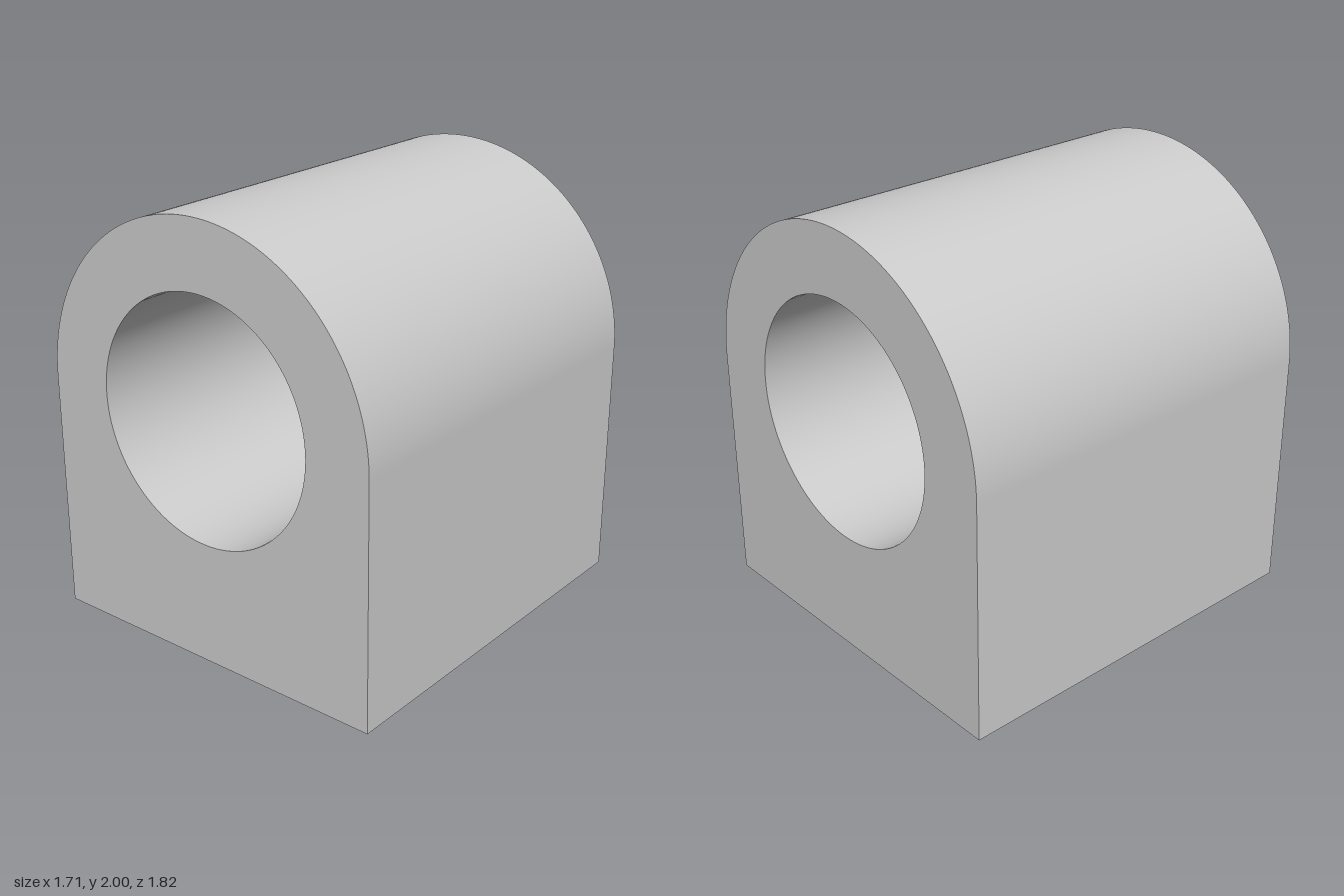
import * as THREE from 'three';
import { toCreasedNormals } from 'three/addons/utils/BufferGeometryUtils.js';

const HALF_DEPTH = 0.91;
const BASE_Y = 0.04;      // underside of the block
const AXIS_Y = 1.146;     // shared centre of the rounded top and the bore
const OUTER_R = 0.854;
const BORE_R = 0.547;
const BOSS_R = 0.634;

export function createModel() {
  const group = new THREE.Group();
  group.name = 'bearingBlock';
  const material = new THREE.MeshStandardMaterial({ color: 0xcccccc });

  // Block: flat sides, semicircular top and a round bore running front to back
  const outline = new THREE.Shape();
  outline.moveTo(-OUTER_R, BASE_Y);
  outline.lineTo(OUTER_R, BASE_Y);
  outline.lineTo(OUTER_R, AXIS_Y);
  outline.absarc(0, AXIS_Y, OUTER_R, 0, Math.PI, false);
  outline.closePath();

  const bore = new THREE.Path();
  bore.absarc(0, AXIS_Y, BORE_R, 0, Math.PI * 2, true);
  outline.holes.push(bore);

  const blockGeometry = new THREE.ExtrudeGeometry(outline, {
    depth: HALF_DEPTH * 2,
    bevelEnabled: false,
    curveSegments: 64,
  });
  blockGeometry.translate(0, 0, -HALF_DEPTH);
  const block = new THREE.Mesh(toCreasedNormals(blockGeometry, Math.PI / 6), material);
  block.name = 'boredBlock';
  group.add(block);

  // Shallow round boss under the block
  const boss = new THREE.Mesh(new THREE.CylinderGeometry(BOSS_R, BOSS_R, BASE_Y, 96), material);
  boss.name = 'locatingBoss';
  boss.position.y = BASE_Y / 2;
  group.add(boss);

  return group;
}
